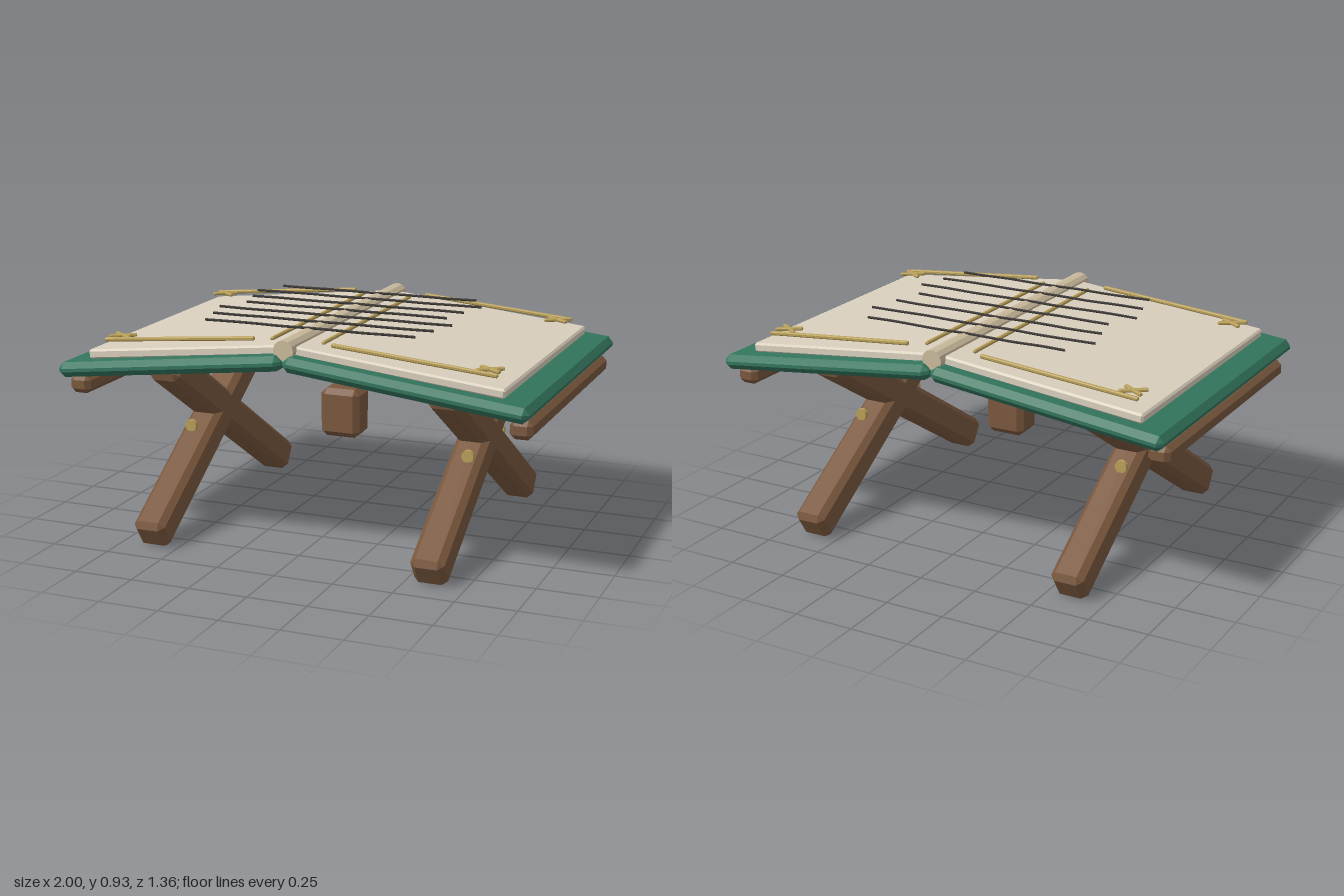
import * as THREE from 'three';
import { ConvexGeometry } from 'three/addons/geometries/ConvexGeometry.js';

const paint = (color) => new THREE.MeshStandardMaterial({ color, flatShading: true });
const green = paint(0x33755d);
const wood = paint(0x7a583e);
const paper = paint(0xd9cfbd);
const binding = paint(0xcbbb9d);
const gold = paint(0xb89f58);
const ink = paint(0x3a3733);

// Box with every edge chamfered by c
function chamferBox(w, h, d, c) {
  const points = [];
  for (const sx of [-1, 1]) for (const sy of [-1, 1]) for (const sz of [-1, 1]) {
    const x = sx * w / 2, y = sy * h / 2, z = sz * d / 2;
    points.push(
      new THREE.Vector3(x, y - sy * c, z - sz * c),
      new THREE.Vector3(x - sx * c, y, z - sz * c),
      new THREE.Vector3(x - sx * c, y - sy * c, z));
  }
  return new ConvexGeometry(points);
}

export function createModel() {
  const model = new THREE.Group();

  function add(name, geometry, material, x, y, z, rx = 0, ry = 0, rz = 0) {
    const mesh = new THREE.Mesh(geometry, material);
    mesh.name = name;
    mesh.position.set(x, y, z);
    mesh.rotation.set(rx, ry, rz);
    model.add(mesh);
    return mesh;
  }

  const coverGeo = chamferBox(1.0, 0.062, 1.36, 0.024);
  const pageGeo = chamferBox(0.87, 0.04, 1.21, 0.008);
  const railGeo = chamferBox(0.092, 0.076, 1.19, 0.02);
  const legGeo = chamferBox(0.14, 0.138, 1.32, 0.024);
  const pegGeo = new THREE.CylinderGeometry(0.026, 0.026, 0.02, 12);
  const gutterGeo = chamferBox(0.016, 0.014, 1.0, 0.004);
  const borderGeo = chamferBox(0.678, 0.016, 0.018, 0.004);
  const crossGeo = chamferBox(0.115, 0.014, 0.018, 0.004);
  const legAngle = 0.56;

  for (const s of [-1, 1]) {
    // Open book: cover board and page block sloping away from the spine
    add('cover', coverGeo, green, s * 0.5, 0.7875, 0, 0, 0, -s * 0.115);
    add('pageBlock', pageGeo, paper, s * 0.453, 0.839, 0, 0, 0, -s * 0.107);
    add('gutterStrip', gutterGeo, gold, s * 0.11, 0.903, 0);

    // Lip rail under the outer edge
    add('rail', railGeo, wood, s * 0.945, 0.657, 0);

    for (const t of [-1, 1]) {
      // Crossed legs, longer below the crossing than above it
      const shift = 0.1;
      add('leg', legGeo, wood, s * 0.605, 0.455 - shift * Math.sin(legAngle),
        t * shift * Math.cos(legAngle), t * legAngle);
      add('peg', pegGeo, gold, s * 0.623, 0.419, t * 0.215, Math.PI / 2);

      // Page ornaments: border bar and corner cross
      add('borderBar', borderGeo, gold, s * 0.5025, 0.878, t * 0.545, 0, 0, -s * 0.09);
      for (const a of [-0.61, 0.61]) {
        add('cornerCross', crossGeo, gold, s * 0.79, 0.856, t * 0.485, 0, a, 0);
      }
    }
  }

  // Rounded spine and the central block beneath it
  add('spine', new THREE.CylinderGeometry(0.043, 0.043, 1.28, 12), binding, 0, 0.89, 0, Math.PI / 2);
  add('centreBlock', chamferBox(0.174, 0.21, 0.142, 0.024), wood, 0, 0.496, 0);

  // Slightly wavering written lines
  const halfLengths = [0.455, 0.52, 0.485];
  for (let i = 0; i < 7; i++) {
    const half = halfLengths[i % 3];
    const path = [];
    for (let k = 0; k <= 8; k++) {
      path.push(new THREE.Vector3(half * (k / 4 - 1), 0, 0.004 * Math.sin(k * 2.1 + i * 1.3)));
    }
    const geometry = new THREE.TubeGeometry(new THREE.CatmullRomCurve3(path), 24, 0.0055, 6);
    add('writtenLine', geometry, ink, 0, 0.932, (i - 3) * 0.13);
  }

  return model;
}
